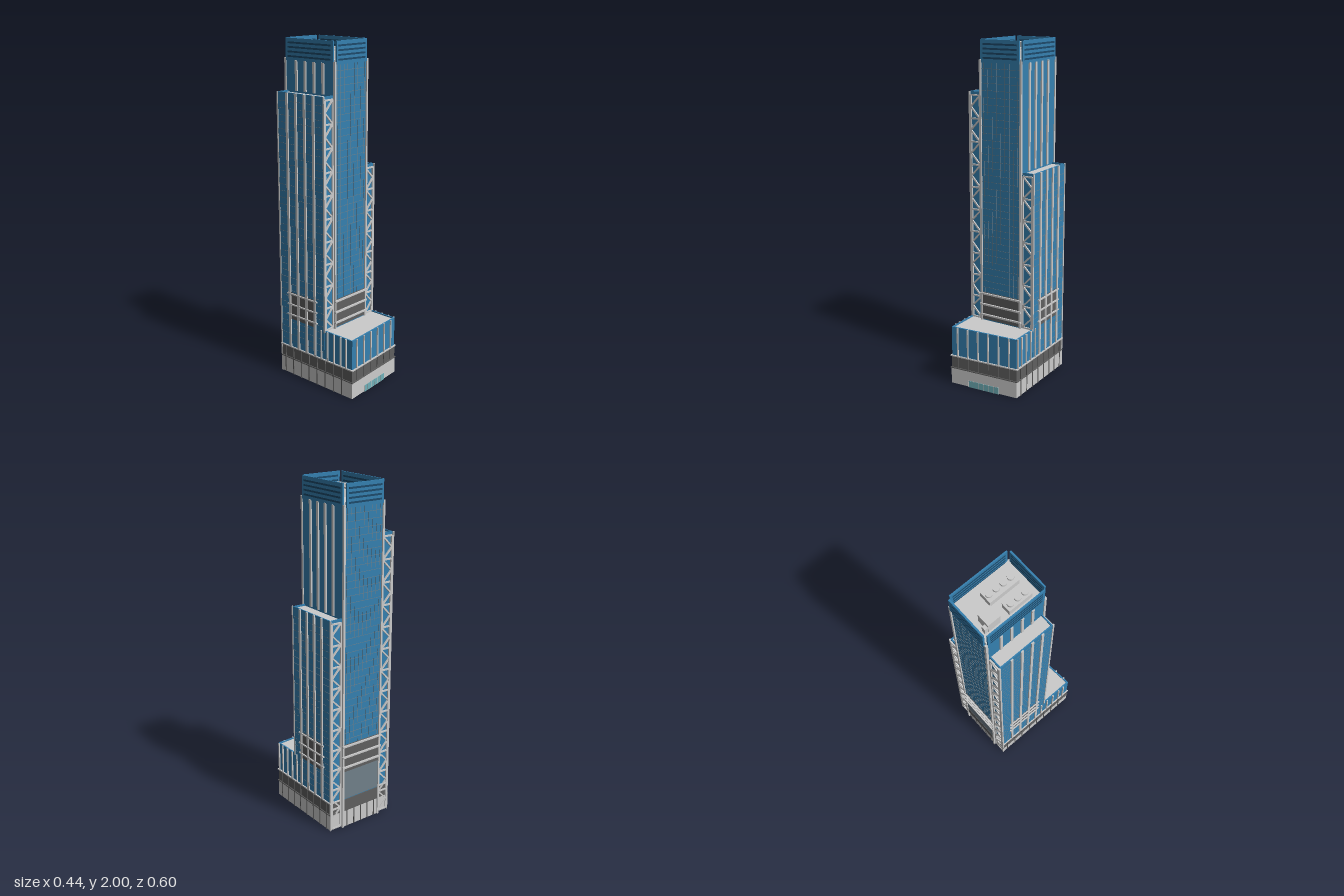
import * as THREE from 'three';

const mat = (color) => new THREE.MeshStandardMaterial({ color });
const GREY = mat(0xcccccc);
const GLASS = mat(0x3580b0);
const LOUVRE = mat(0x1d4a6b);
const DARK = mat(0x606060);
const SLATE = mat(0x71808a);
const DOOR = mat(0x6fb0b8);

// Box given by its limits on each axis
function block(parent, name, x0, x1, y0, y1, z0, z1, material = GREY) {
  const m = new THREE.Mesh(new THREE.BoxGeometry(x1 - x0, y1 - y0, z1 - z0), material);
  m.position.set((x0 + x1) / 2, (y0 + y1) / 2, (z0 + z1) / 2);
  m.name = name;
  parent.add(m);
  return m;
}

// Sloping bar in a plane of constant z
function bar(parent, name, xa, ya, xb, yb, z, t) {
  const m = new THREE.Mesh(new THREE.BoxGeometry(Math.hypot(xb - xa, yb - ya), t, t), GREY);
  m.position.set((xa + xb) / 2, (ya + yb) / 2, z);
  m.rotation.z = Math.atan2(yb - ya, xb - xa);
  m.name = name;
  parent.add(m);
}

function group(parent, name) {
  const g = new THREE.Group();
  g.name = name;
  parent.add(g);
  return g;
}

const frontZ = (x) => 0.2725 - 0.0814 * x; // slanted podium front
const FIN_Z = [-0.197, -0.129, -0.062, 0.005];
const RAIL_Y = [0.39, 0.455, 0.522];

// Horizontal slab with the podium outline grown by o
function podiumSlab(parent, name, y0, y1, o, material) {
  const x = 0.212 + o;
  const s = new THREE.Shape([
    new THREE.Vector2(-x, -frontZ(-x) - o), new THREE.Vector2(x, -frontZ(x) - o),
    new THREE.Vector2(x, 0.27 + o), new THREE.Vector2(-x, 0.27 + o),
  ]);
  const geo = new THREE.ExtrudeGeometry(s, { depth: y1 - y0, bevelEnabled: false });
  geo.rotateX(-Math.PI / 2);
  const m = new THREE.Mesh(geo, material);
  m.position.y = y0;
  m.name = name;
  parent.add(m);
}

function buildPodium(root) {
  const g = group(root, 'podium');
  podiumSlab(g, 'soffit', 0, 0.003, 0.001, SLATE);
  podiumSlab(g, 'stoneBase', 0.003, 0.105, 0.004, GREY);
  podiumSlab(g, 'louvreBand', 0.105, 0.18, 0.002, DARK);
  podiumSlab(g, 'lowerBelt', 0.1, 0.106, 0.008, DARK);
  podiumSlab(g, 'upperBelt', 0.175, 0.182, 0.008, GREY);
  podiumSlab(g, 'glazing', 0.18, 0.35, 0, GLASS);
  podiumSlab(g, 'podiumRoof', 0.35, 0.353, -0.004, GREY);

  // Front fins, parapet and entrance follow the slanted wall
  const facade = group(g, 'slantedFront');
  facade.position.z = 0.2725;
  facade.rotation.y = Math.atan(0.0814);
  for (let i = 0; i < 6; i++) {
    const x = -0.172 + i * 0.0675;
    block(facade, 'fin', x - 0.004, x + 0.004, 0.18, 0.36, -0.004, 0.008);
    block(facade, 'baseRib', x - 0.002, x + 0.002, 0.105, 0.18, 0, 0.006, DARK);
  }
  block(facade, 'parapet', -0.212, 0.212, 0.34, 0.36, -0.008, 0.001, GLASS);
  block(facade, 'entrance', -0.1, 0.1, 0, 0.04, 0, 0.0065, DOOR);
  for (let i = 0; i <= 6; i++) {
    const x = -0.1 + i / 30;
    block(facade, 'doorPost', x - 0.001, x + 0.001, 0, 0.042, 0, 0.008);
  }
  // Side walls
  for (const s of [-1, 1]) {
    const x = s * 0.214;
    block(g, 'sideParapet', s * 0.208 - 0.004, s * 0.208 + 0.004, 0.34, 0.36, 0.07, frontZ(x) - 0.002, GLASS);
    for (const z of [0.055, 0.105, 0.155, 0.205, 0.245]) {
      block(g, 'sideFin', x - 0.006, x + 0.006, 0.18, 0.36, z - 0.004, z + 0.004);
    }
    for (let z = -0.24; z < 0.25; z += 0.065) {
      block(g, 'baseColumn', x - 0.005, x + 0.005, 0, 0.18, z - 0.003, z + 0.003, DARK);
    }
  }
}

// Zigzag bracing between two posts
function truss(parent, s, z, bottom, top) {
  const g = group(parent, 'truss');
  const xi = s * 0.142, xo = s * 0.204, t = 0.009;
  for (const x of [xi, xo]) block(g, 'post', x - 0.005, x + 0.005, bottom, top, z - 0.005, z + 0.005);
  const n = Math.round((top - bottom) / 0.13), h = (top - bottom) / n;
  for (let i = 0; i <= n; i++) {
    const y = bottom + i * h;
    bar(g, 'crossBeam', xi, y, xo, y, z, t);
    if (i === n) break;
    bar(g, 'brace', xi, y, xo, y + h / 2, z, t);
    bar(g, 'brace', xo, y + h / 2, xi, y + h, z, t);
  }
}

function buildWing(root, s, top) {
  const g = group(root, s > 0 ? 'leftWing' : 'rightWing');
  const span = (a, b) => (s > 0 ? [a, b] : [-b, -a]);
  block(g, 'wingGlass', ...span(0.13, 0.213), 0.18, top - 0.014, -0.27, 0.075, GLASS);
  block(g, 'wingRoof', ...span(0.13, 0.209), top - 0.014, top - 0.01, -0.266, 0.071);
  block(g, 'parapet', ...span(0.206, 0.213), top - 0.016, top, -0.27, 0.075, GLASS);
  for (const z of [-0.27, 0.068]) block(g, 'parapet', ...span(0.13, 0.206), top - 0.016, top, z, z + 0.007, GLASS);
  for (const z of [-0.274, 0.079]) {
    block(g, 'cornerPost', ...span(0.209, 0.216), z < 0 ? 0 : 0.35, top, z - 0.005, z + 0.005);
    truss(g, s, z, z < 0 ? 0.01 : 0.36, top - 0.02);
  }
  for (const z of FIN_Z) {
    block(g, 'wingFin', ...span(0.212, 0.22), 0.18, top, z - 0.008, z + 0.008);
    block(g, 'coreFin', ...span(0.13, 0.142), top, 1.88, z - 0.008, z + 0.008);
  }
  // Floor lines
  for (let y = 0.22; y < top - 0.02; y += 0.04) {
    block(g, 'floorLine', ...span(0.212, 0.2138), y, y + 0.002, -0.27, 0.075, SLATE);
  }
  // Plant floor on the side
  block(g, 'plantPanel', ...span(0.2, 0.2145), 0.36, 0.53, -0.197, 0.005, DARK);
  for (const y of RAIL_Y) block(g, 'plantRail', ...span(0.2, 0.222), y - 0.004, y + 0.004, -0.215, 0.025);
}

function buildCore(root) {
  const g = group(root, 'core');
  block(g, 'coreGlass', -0.134, 0.134, 0.18, 1.88, -0.283, 0.086, GLASS);
  block(g, 'coreBase', -0.134, 0.134, 0, 0.18, -0.283, 0);
  for (const x of [-0.132, 0.132]) {
    for (const z of [-0.284, 0.087]) {
      block(g, 'cornerColumn', x - 0.006, x + 0.006, z < 0 ? 0 : 0.35, 1.89, z - 0.007, z + 0.007);
    }
  }
  // Floor lines and mullions on front and back, then the plant floor
  for (const [wall, d] of [[-0.283, -1], [0.086, 1]]) {
    const depth = (a, b) => (d > 0 ? [wall + a, wall + b] : [wall - b, wall - a]);
    for (let y = 0.56; y < 1.87; y += 0.04) block(g, 'floorLine', -0.126, 0.126, y, y + 0.002, ...depth(0, 0.001), SLATE);
    for (let i = -4; i <= 4; i++) {
      block(g, 'mullion', i * 0.028 - 0.0006, i * 0.028 + 0.0006, 0.53, 1.88, ...depth(0, 0.0012), SLATE);
    }
    block(g, 'plantPanel', -0.128, 0.128, 0.36, 0.53, ...depth(0, 0.004), DARK);
    for (const y of RAIL_Y) block(g, 'plantRail', -0.14, 0.14, y - 0.005, y + 0.005, ...depth(0, 0.014));
  }
  // Back entrance wall
  block(g, 'backWindow', -0.126, 0.126, 0.185, 0.36, -0.286, -0.28, SLATE);
  block(g, 'backLouvre', -0.126, 0.126, 0.105, 0.18, -0.287, -0.28, DARK);
  for (let i = -2; i <= 2; i++) block(g, 'backRib', i * 0.05 - 0.002, i * 0.05 + 0.002, 0, 0.105, -0.288, -0.28, DARK);
}

function buildCrown(root) {
  const g = group(root, 'crown');
  block(g, 'roof', -0.13, 0.13, 1.875, 1.9, -0.28, 0.083);
  // Four screens with open corners and recessed-looking louvre strips
  for (const z of [-0.289, 0.09]) {
    block(g, 'screen', -0.123, 0.123, 1.875, 2, z - 0.005, z + 0.005, GLASS);
    for (let i = 0; i < 4; i++) {
      const y = 1.895 + i * 0.025;
      block(g, 'louvre', -0.11, 0.11, y, y + 0.01, z - 0.0065, z + 0.0065, LOUVRE);
    }
  }
  for (const x of [-0.134, 0.134]) {
    block(g, 'screen', x - 0.004, x + 0.004, 1.875, 2, -0.277, 0.079, GLASS);
    for (let i = 0; i < 4; i++) {
      const y = 1.895 + i * 0.025;
      block(g, 'louvre', x - 0.0055, x + 0.0055, y, y + 0.01, -0.262, 0.064, LOUVRE);
    }
  }
}

function buildRoofPlant(root) {
  const g = group(root, 'roofPlant');
  block(g, 'liftHouse', -0.09, -0.016, 1.9, 1.975, -0.233, -0.157);
  block(g, 'liftHouseAnnex', -0.088, -0.065, 1.9, 1.95, -0.252, -0.233);
  const units = [[-0.09, -0.035, -0.102, 0.044, 3, -0.072], [0.003, 0.077, -0.142, 0.044, 4, -0.118]];
  for (const [x0, x1, z0, z1, n, zFirst] of units) {
    block(g, 'coolingUnit', x0, x1, 1.9, 1.94, z0, z1);
    for (let i = 0; i < n; i++) {
      const fan = new THREE.Mesh(new THREE.CylinderGeometry(0.018, 0.018, 0.014, 24), GREY);
      fan.position.set((x0 + x1) / 2, 1.946, zFirst + i * 0.0455);
      fan.name = 'fan';
      g.add(fan);
    }
  }
}

export function createModel() {
  const root = new THREE.Group();
  root.name = 'tower';
  buildPodium(root);
  buildCore(root);
  buildWing(root, -1, 1.71);
  buildWing(root, 1, 1.28);
  buildCrown(root);
  buildRoofPlant(root);
  return root;
}
